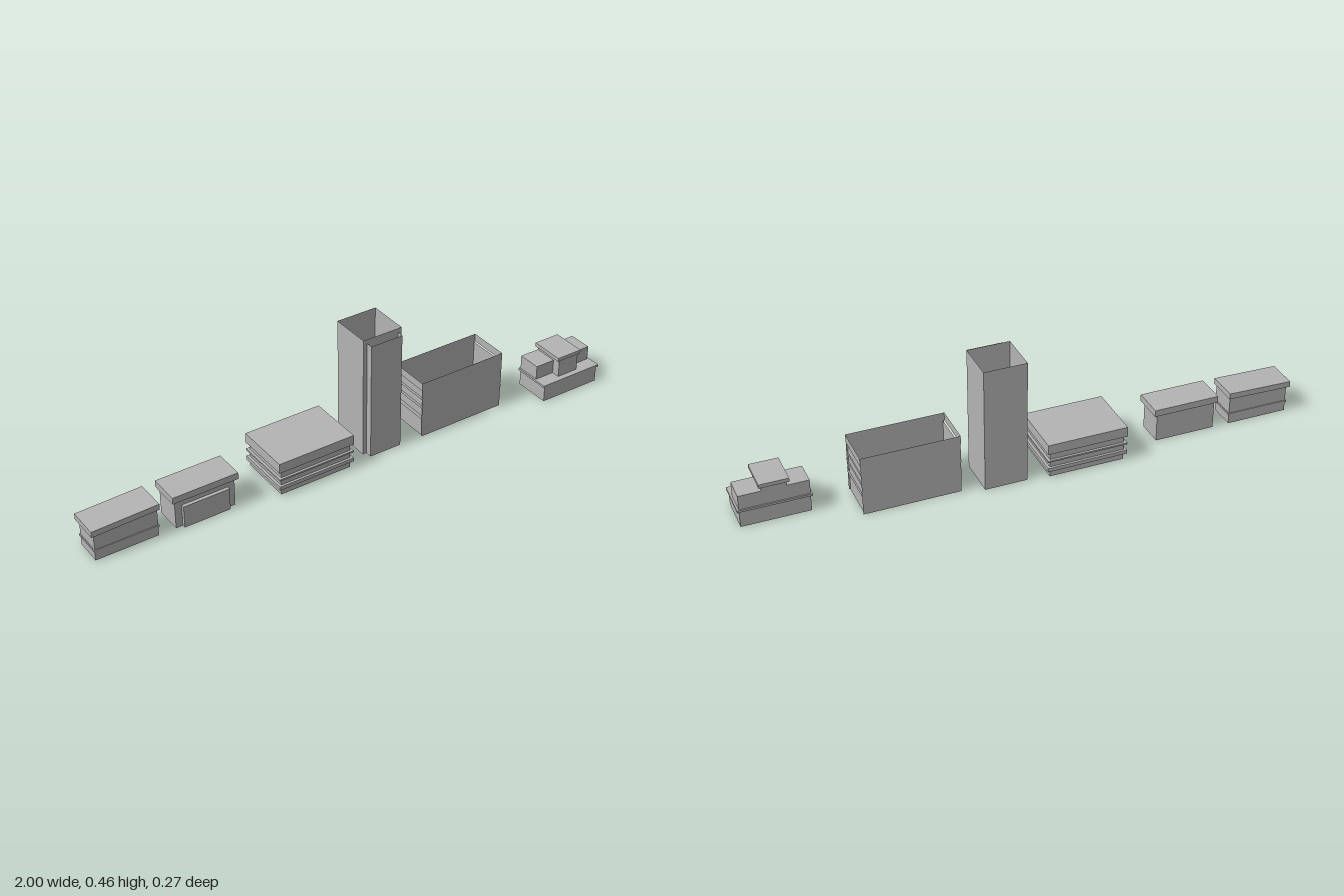
import * as THREE from 'three';

export function createModel() {
  const model = new THREE.Group();
  model.name = 'cityBlocks';
  const concrete = new THREE.MeshStandardMaterial({ color: 0xb4b4b4, side: THREE.DoubleSide });
  concrete.name = 'concreteGrey';

  const building = (name) => {
    const g = new THREE.Group();
    g.name = name;
    model.add(g);
    return g;
  };

  // Closed box given by its bounds
  function slab(parent, name, x0, x1, y0, y1, z0, z1) {
    const geo = new THREE.BoxGeometry(x1 - x0, y1 - y0, z1 - z0);
    geo.translate((x0 + x1) / 2, (y0 + y1) / 2, (z0 + z1) / 2);
    const mesh = new THREE.Mesh(geo, concrete);
    mesh.name = name;
    parent.add(mesh);
    return mesh;
  }

  // Four upright walls with open top and bottom
  function walls(parent, name, ...bounds) {
    const mesh = slab(parent, name, ...bounds);
    const index = Array.from(mesh.geometry.index.array);
    mesh.geometry.setIndex([...index.slice(0, 12), ...index.slice(24)]);
    mesh.geometry.clearGroups();
    return mesh;
  }

  // Low hall with a slightly sloping roof
  const hall = building('slopedRoofHall');
  walls(hall, 'hallWalls', -0.99, -0.763, 0, 0.104, -0.069, 0.03);
  slab(hall, 'hallLedge', -0.993, -0.76, 0.035, 0.042, -0.072, 0.033);
  const roof = slab(hall, 'hallRoof', -1, -0.757, 0.1, 0.122, -0.077, 0.038);
  const p = roof.geometry.attributes.position;
  for (let i = 0; i < p.count; i++) {
    if (p.getX(i) > -0.9) p.setY(i, p.getY(i) + 0.006);
  }
  roof.geometry.computeVertexNormals();

  // Low hall with a porch
  const porchHall = building('porchHall');
  walls(porchHall, 'porchHallWalls', -0.7, -0.477, 0, 0.105, -0.069, 0.03);
  slab(porchHall, 'porchHallRoof', -0.71, -0.465, 0.105, 0.13, -0.077, 0.038);
  walls(porchHall, 'porchWalls', -0.675, -0.503, 0, 0.082, 0.03, 0.043);
  slab(porchHall, 'porchRoof', -0.675, -0.503, 0.08, 0.083, 0.03, 0.043);

  // Wide block with floor ledges
  const ledgeBlock = building('ledgeBlock');
  walls(ledgeBlock, 'ledgeBlockWalls', -0.322, -0.047, 0, 0.095, -0.127, 0.07);
  for (const [y0, y1] of [[0.025, 0.039], [0.063, 0.069], [0.095, 0.132]]) {
    slab(ledgeBlock, 'floorLedge', -0.332, -0.037, y0, y1, -0.136, 0.079);
  }

  // Tall tower, open at the top, with a front bay
  const tower = building('tower');
  walls(tower, 'towerWalls', 0.03, 0.184, 0, 0.46, -0.116, 0.036);
  walls(tower, 'towerFrontBay', 0.045, 0.17, 0, 0.445, 0.036, 0.061);

  // Open block with parapet bands between two end sheets
  const banded = building('bandedBlock');
  walls(banded, 'bandedWalls', 0.264, 0.599, 0, 0.19, -0.088, 0.06);
  for (const [y0, y1] of [[0.072, 0.09], [0.117, 0.13], [0.153, 0.165], [0.19, 0.22]]) {
    walls(banded, 'wallBand', 0.258, 0.605, y0, y1, -0.092, 0.063);
  }
  for (const z of [-0.092, 0.063]) {
    const sheet = new THREE.Mesh(new THREE.PlaneGeometry(0.345, 0.22), concrete);
    sheet.position.set(0.4315, 0.11, z);
    if (z < 0) sheet.rotation.y = Math.PI;
    sheet.name = z < 0 ? 'backSheet' : 'frontSheet';
    banded.add(sheet);
  }

  // Stepped house
  const stepped = building('steppedHouse');
  walls(stepped, 'lowerWalls', 0.752, 0.993, 0, 0.06, -0.003, 0.134);
  slab(stepped, 'lowerLedge', 0.746, 1, 0.06, 0.068, -0.008, 0.137);
  slab(stepped, 'upperStorey', 0.752, 0.993, 0.068, 0.121, -0.003, 0.085);
  slab(stepped, 'centreBay', 0.829, 0.914, 0.068, 0.136, -0.003, 0.116);
  slab(stepped, 'centreCap', 0.82, 0.923, 0.136, 0.15, -0.008, 0.12);

  return model;
}
